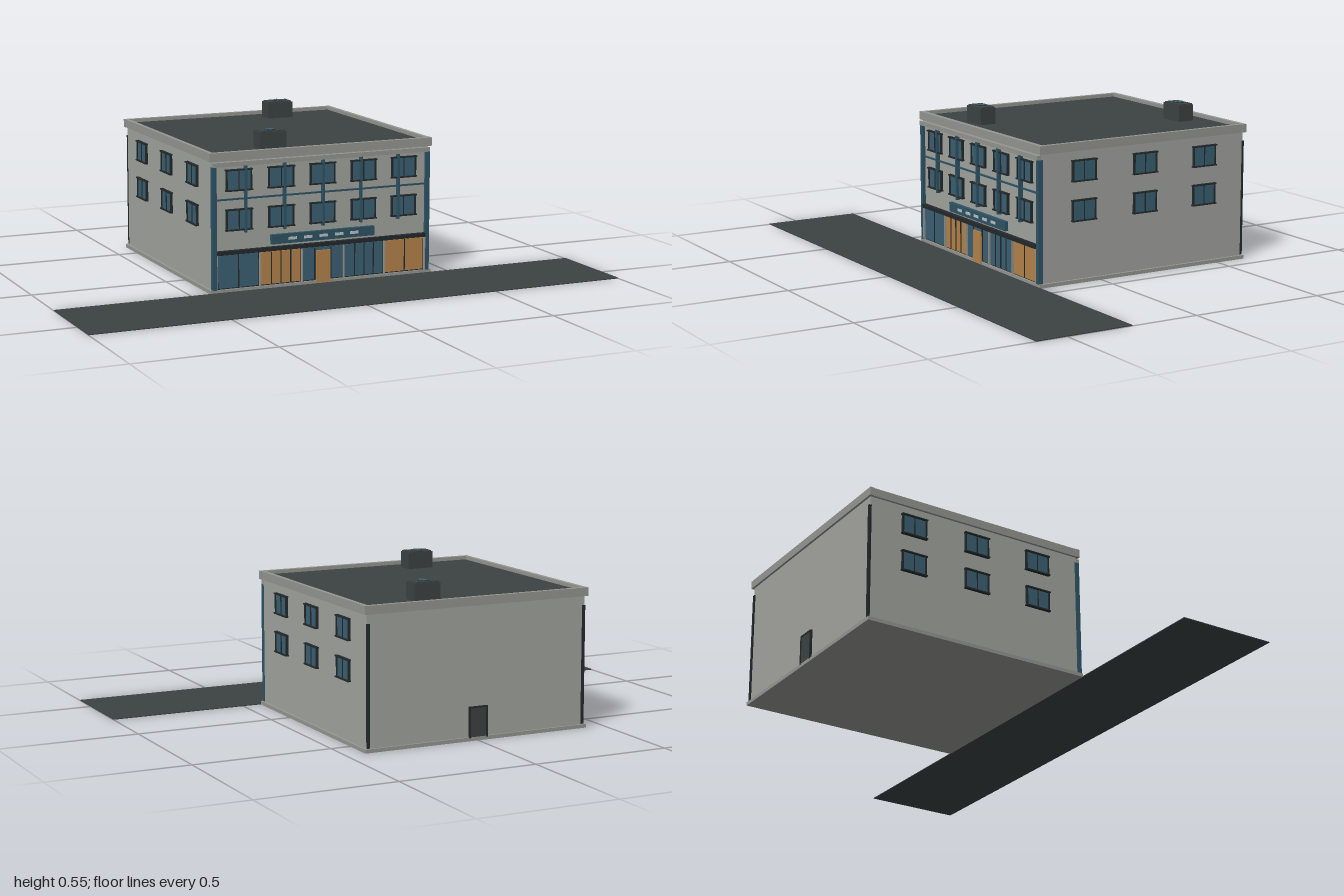
import * as THREE from 'three';

export function createModel() {
  const model = new THREE.Group();
  const mat = (name, color) => {
    const m = new THREE.MeshStandardMaterial({ color });
    m.name = name;
    return m;
  };
  const wall = mat('wall grey', 0xa3a5a0);
  const trim = mat('trim grey', 0x969792);
  const dark = mat('slate', 0x3c4242);
  const frame = mat('frame charcoal', 0x23292b);
  const glass = mat('teal glass', 0x3b6072);
  const paint = mat('teal paint', 0x2f5465);
  const warm = mat('warm amber', 0xb5834a);
  const pale = mat('pale sign', 0xb9c4c6);

  // Box given by its min and max on each axis
  const box = (parent, name, m, x0, x1, y0, y1, z0, z1) => {
    const mesh = new THREE.Mesh(new THREE.BoxGeometry(x1 - x0, y1 - y0, z1 - z0), m);
    mesh.position.set((x0 + x1) / 2, (y0 + y1) / 2, (z0 + z1) / 2);
    mesh.name = name;
    parent.add(mesh);
    return mesh;
  };
  const FRONT = 0.242, BACK = -0.61, SIDE = 0.42;

  // Pavement, main block, plinth and roof
  box(model, 'pavement', dark, -1, 1, 0, 0.003, 0.252, 0.615);
  box(model, 'walls', wall, -SIDE, SIDE, 0.001, 0.475, BACK, FRONT);
  box(model, 'plinth', trim, -0.43, 0.43, 0, 0.013, -0.617, 0.252);
  box(model, 'roof', dark, -0.419, 0.419, 0.475, 0.484, -0.609, 0.24);

  // Parapet
  for (const s of [-1, 1]) {
    const p = box(model, 'sideParapet', trim, -0.0075, 0.0075, 0.467, 0.497, -0.605, 0.236);
    p.position.x = s * 0.4215;
  }
  box(model, 'backParapet', trim, -0.431, 0.431, 0.467, 0.497, -0.618, -0.602);
  box(model, 'frontCornice', trim, -0.431, 0.431, 0.467, 0.497, 0.234, 0.252);
  box(model, 'lowerCornice', trim, -0.42, 0.42, 0.447, 0.463, 0.24, 0.257);

  // Framed window facing +z, standing on a wall at z = 0
  function makeWindow(name) {
    const g = new THREE.Group();
    g.name = name;
    const w = 0.046, h = 0.036, t = 0.0025;
    box(g, 'pane', glass, -w, w, -h, h, -0.001, 0.005);
    for (const s of [-1, 1]) {
      box(g, 'jamb', frame, s * w - t, s * w + t, -h, h, 0, 0.009);
      box(g, 'rail', frame, -w - 0.005, w + 0.005, s * h - t, s * h + t, 0, 0.012);
    }
    box(g, 'mullion', frame, -0.0015, 0.0015, -h, h, 0, 0.008);
    return g;
  }
  for (const y of [0.397, 0.257]) {
    for (let i = -2; i <= 2; i++) {
      const w = makeWindow('frontWindow');
      w.position.set(i * 0.16, y, FRONT);
      model.add(w);
    }
    for (const s of [-1, 1]) for (const z of [0.07, -0.184, -0.438]) {
      const w = makeWindow('sideWindow');
      w.position.set(s * SIDE, y, z);
      w.rotation.y = s * Math.PI / 2;
      model.add(w);
    }
  }

  // Facade strips
  box(model, 'stringCourse', paint, -0.405, 0.405, 0.327, 0.333, 0.24, 0.248);
  for (let i = -2; i <= 2; i++) {
    box(model, 'facadeFin', paint, i * 0.148 - 0.004, i * 0.148 + 0.004, 0.21, 0.447, 0.24, 0.257);
  }
  for (const s of [-1, 1]) {
    const p = box(model, 'cornerPilaster', paint, -0.008, 0.008, 0.013, 0.447, 0.236, 0.254);
    p.position.x = s * 0.414;
    const d = box(model, 'downpipe', frame, -0.005, 0.005, 0.015, 0.435, -0.615, -0.606);
    d.position.x = s * 0.416;
  }

  // Sign board with plain dashes
  box(model, 'signBoard', paint, -0.2, 0.2, 0.159, 0.193, 0.24, 0.256);
  for (let i = -2; i <= 2; i++) {
    box(model, 'signDash', pale, i * 0.06 - 0.016, i * 0.06 + 0.016, 0.171, 0.181, 0.255, 0.258);
  }

  // Shop front: five glazed bays in a dark frame
  box(model, 'shopFascia', frame, -0.406, 0.406, 0.136, 0.15, 0.24, 0.258);
  box(model, 'shopBacking', frame, -0.406, 0.406, 0.013, 0.136, 0.24, 0.245);
  const bays = [glass, warm, glass, glass, warm];
  bays.forEach((m, i) => {
    const x = (i - 2) * 0.162;
    box(model, 'shopGlass', m, x - 0.075, x + 0.075, 0.017, 0.133, 0.243, 0.249);
    const bars = i === 2 ? [-0.032, 0.032] : i % 2 ? [-0.037, 0, 0.037] : [0];
    for (const b of bars) {
      box(model, 'shopMullion', frame, x + b - 0.0015, x + b + 0.0015, 0.017, 0.133, 0.243, 0.252);
    }
  });
  for (let i = 0; i < 6; i++) {
    const x = (i - 2.5) * 0.162;
    box(model, 'shopPost', trim, x - 0.002, x + 0.002, 0.013, 0.136, 0.243, 0.254);
  }
  box(model, 'frontDoor', warm, -0.027, 0.027, 0.006, 0.122, 0.243, 0.255);

  // Back door
  box(model, 'backDoor', dark, -0.032, 0.032, 0.01, 0.115, -0.616, -0.606);
  for (const s of [-1, 1]) {
    const j = box(model, 'backDoorJamb', frame, -0.003, 0.003, 0.01, 0.117, -0.618, -0.606);
    j.position.x = s * 0.033;
  }
  box(model, 'backDoorLintel', frame, -0.036, 0.036, 0.114, 0.119, -0.618, -0.606);

  // Rooftop units with a round fan on top
  for (const [x, z] of [[-0.158, 0.143], [0.158, -0.51]]) {
    const g = new THREE.Group();
    g.name = 'rooftopUnit';
    g.position.set(x, 0.484, z);
    box(g, 'unitBody', dark, -0.05, 0.05, 0, 0.06, -0.031, 0.031);
    box(g, 'unitLid', dark, -0.046, 0.046, 0.06, 0.064, -0.028, 0.028);
    const fan = new THREE.Mesh(new THREE.CylinderGeometry(0.02, 0.02, 0.004, 8), frame);
    fan.name = 'fanRing';
    fan.position.y = 0.064;
    g.add(fan);
    box(g, 'fanBlade', glass, -0.018, 0.018, 0.064, 0.067, -0.007, 0.007);
    box(g, 'fanBlade', glass, -0.007, 0.007, 0.064, 0.0675, -0.018, 0.018);
    model.add(g);
  }
  return model;
}
